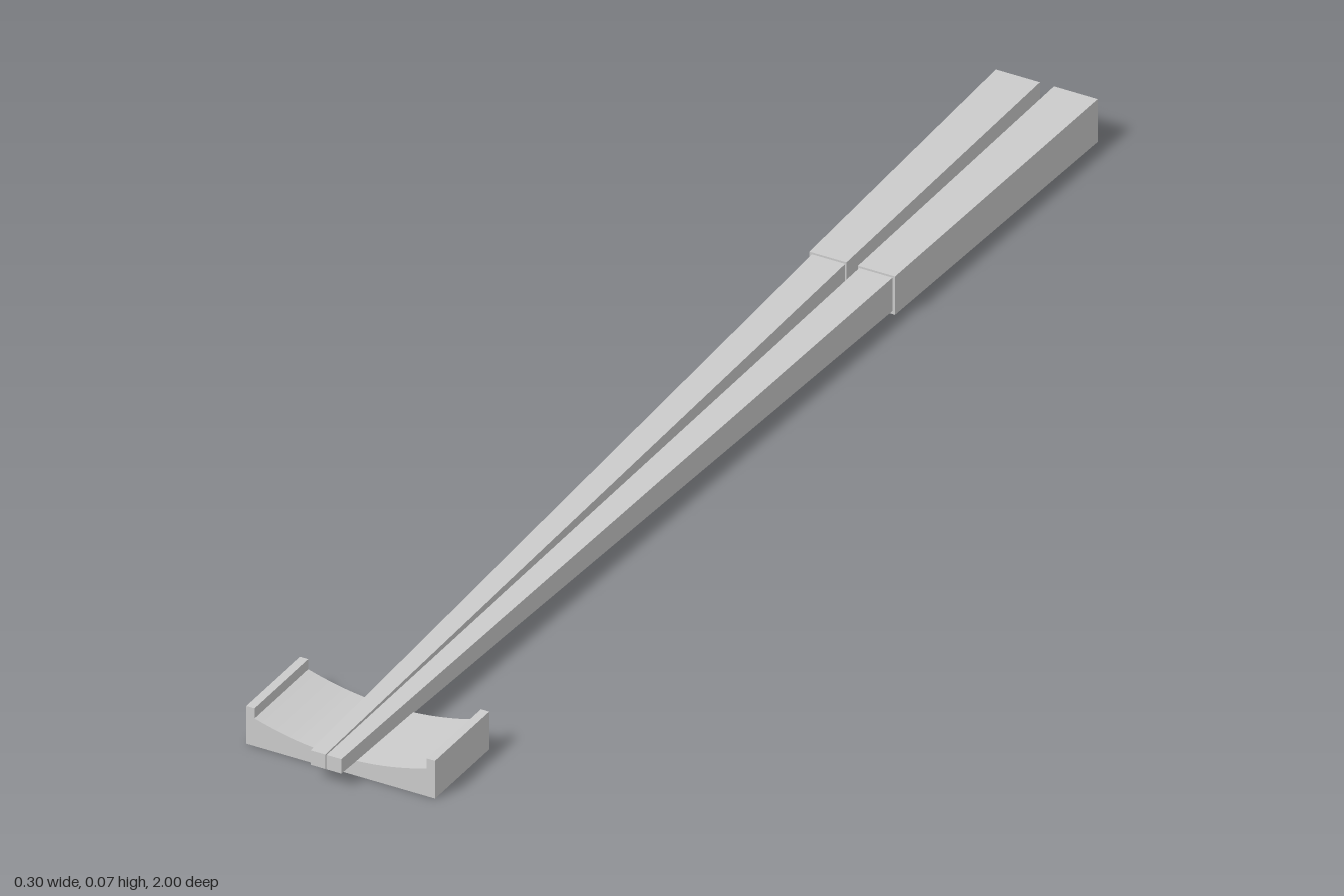
import * as THREE from 'three';

const material = new THREE.MeshStandardMaterial({ color: 0xcccccc, flatShading: true });

// Tapered square bar between two rectangular sections: { z, x: [inner, outer], y: [low, high] }
function taperedBar(name, front, back, side) {
  const geometry = new THREE.BoxGeometry(1, 1, 1);
  const p = geometry.attributes.position;
  for (let i = 0; i < p.count; i++) {
    const s = p.getZ(i) > 0 ? front : back;
    const xs = side > 0 ? s.x : [-s.x[1], -s.x[0]];
    p.setXYZ(i, xs[p.getX(i) > 0 ? 1 : 0], s.y[p.getY(i) > 0 ? 1 : 0], s.z);
  }
  geometry.computeVertexNormals();
  const mesh = new THREE.Mesh(geometry, material);
  mesh.name = name;
  return mesh;
}

// One chopstick: slim shaft and a slightly thicker handle
function chopstick(name, side) {
  const stick = new THREE.Group();
  stick.name = name;
  stick.add(
    taperedBar('shaft',
      { z: 1, x: [0.001, 0.024], y: [0.024, 0.047] },
      { z: -0.46, x: [0.011, 0.063], y: [0.009, 0.062] }, side),
    taperedBar('handle',
      { z: -0.46, x: [0.009, 0.067], y: [0.004, 0.065] },
      { z: -1, x: [0.011, 0.08], y: [0.001, 0.069] }, side),
  );
  return stick;
}

// Rest: block with a curved cradle and a small lip at each end
function chopstickRest() {
  const half = 0.148, lip = 0.135, height = 0.06, steps = 24;
  const shape = new THREE.Shape();
  shape.moveTo(-half, 0);
  shape.lineTo(half, 0);
  shape.lineTo(half, height);
  shape.lineTo(lip, height);
  for (let i = 0; i <= steps; i++) {
    const x = lip * (1 - 2 * i / steps);
    shape.lineTo(x, 0.023 + 1.15 * x * x);
  }
  shape.lineTo(-lip, height);
  shape.lineTo(-half, height);
  shape.closePath();
  const geometry = new THREE.ExtrudeGeometry(shape, { depth: 0.15, bevelEnabled: false });
  geometry.translate(0, 0, 0.81);
  const mesh = new THREE.Mesh(geometry, material);
  mesh.name = 'chopstickRest';
  return mesh;
}

export function createModel() {
  const model = new THREE.Group();
  model.name = 'chopsticksOnRest';
  model.add(chopstick('leftChopstick', 1), chopstick('rightChopstick', -1), chopstickRest());
  return model;
}
